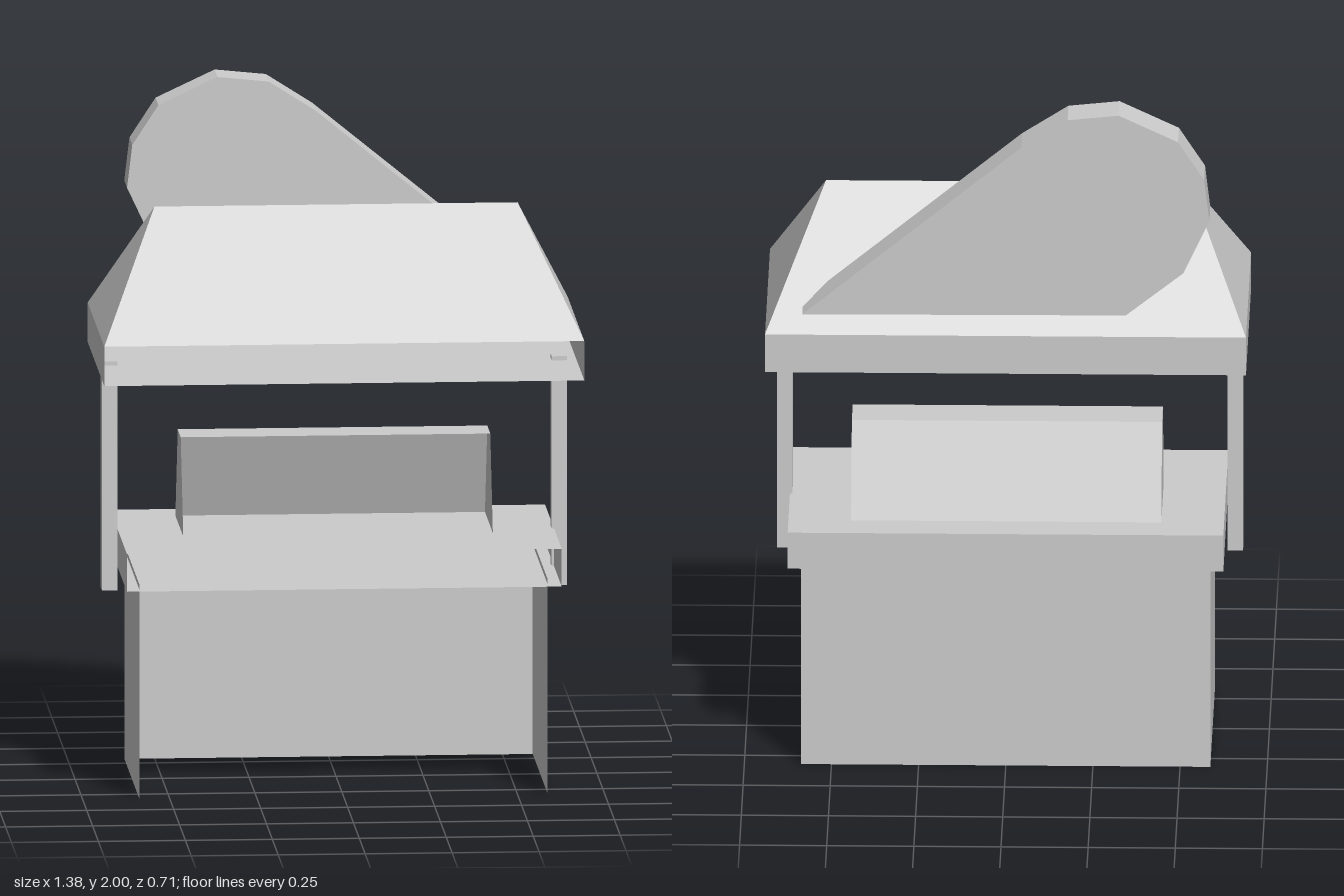
import * as THREE from 'three';

const stone = new THREE.MeshStandardMaterial({ color: 0xcccccc, side: THREE.DoubleSide });
stone.name = 'plain grey';

const SIDES = ['right', 'left', 'top', 'bottom', 'front', 'back']; // box face order

// Box between two corners, leaving out the listed faces
function openBox([x0, y0, z0], [x1, y1, z1], omit = []) {
  const geo = new THREE.BoxGeometry(x1 - x0, y1 - y0, z1 - z0);
  geo.translate((x0 + x1) / 2, (y0 + y1) / 2, (z0 + z1) / 2);
  const index = Array.from(geo.index.array);
  geo.setIndex(index.filter((_, i) => !omit.includes(SIDES[Math.floor(i / 6)])));
  geo.clearGroups();
  return geo;
}

// Move the upper vertices of a box by a rule
function reshapeTop(geo, yTop, rule) {
  const p = geo.attributes.position;
  for (let i = 0; i < p.count; i++) {
    if (p.getY(i) > yTop - 0.001) {
      const [x, z] = rule(p.getX(i), p.getZ(i));
      p.setXYZ(i, x, yTop, z);
    }
  }
  geo.computeVertexNormals();
  return geo;
}

// Extruded outline without its front cap
function openTray(points, depth) {
  const shape = new THREE.Shape(points.map(([x, y]) => new THREE.Vector2(x, y)));
  const src = new THREE.ExtrudeGeometry(shape, { depth, bevelEnabled: false });
  const p = src.attributes.position;
  const kept = [];
  for (let i = 0; i < p.count; i += 3) {
    const front = [0, 1, 2].every((k) => p.getZ(i + k) > depth - 0.001);
    if (!front) for (let k = 0; k < 3; k++) kept.push(p.getX(i + k), p.getY(i + k), p.getZ(i + k));
  }
  const geo = new THREE.BufferGeometry();
  geo.setAttribute('position', new THREE.Float32BufferAttribute(kept, 3));
  geo.computeVertexNormals();
  return geo;
}

export function createModel() {
  const model = new THREE.Group();
  model.name = 'stall';
  const add = (name, geo) => {
    const mesh = new THREE.Mesh(geo, stone);
    mesh.name = name;
    model.add(mesh);
    return mesh;
  };

  // Stand: three walls, open at the front
  add('standWalls', openBox([-0.587, 0, -0.32], [0.587, 0.625, 0.32], ['front', 'top', 'bottom']));

  // Counter slab, hollow at the front
  add('counter', openBox([-0.625, 0.61, -0.357], [0.625, 0.72, 0.357], ['front']));

  // Tapered display box with an open front
  const display = openBox([-0.445, 0.715, -0.252], [0.445, 0.99, 0.09], ['front']);
  add('displayBox', reshapeTop(display, 0.99, (x, z) => [x, z < 0 ? -0.15 : -0.02]));

  // Posts holding the roof
  add('leftPost', openBox([0.618, 0.555, -0.029], [0.662, 1.222, 0.029]));
  add('rightPost', openBox([-0.675, 0.555, -0.029], [-0.63, 1.222, 0.029]));

  // Roof: hollow eaves band below a hipped top
  add('eaves', openBox([-0.69, 1.21, -0.357], [0.69, 1.325, 0.357], ['front', 'top']));
  const hip = openBox([-0.69, 1.325, -0.357], [0.69, 1.667, 0.357], ['top', 'bottom']);
  add('hippedRoof', reshapeTop(hip, 1.667, (x) => [Math.sign(x) * 0.522, 0]));

  // Teardrop sign tray behind the ridge
  const outline = [
    [0.583, 1.387], [-0.045, 1.9], [-0.178, 1.985], [-0.325, 2], [-0.495, 1.92],
    [-0.57, 1.805], [-0.585, 1.68], [-0.51, 1.52], [-0.345, 1.39],
  ];
  add('roofSign', openTray(outline, 0.122)).position.z = -0.356;

  return model;
}
